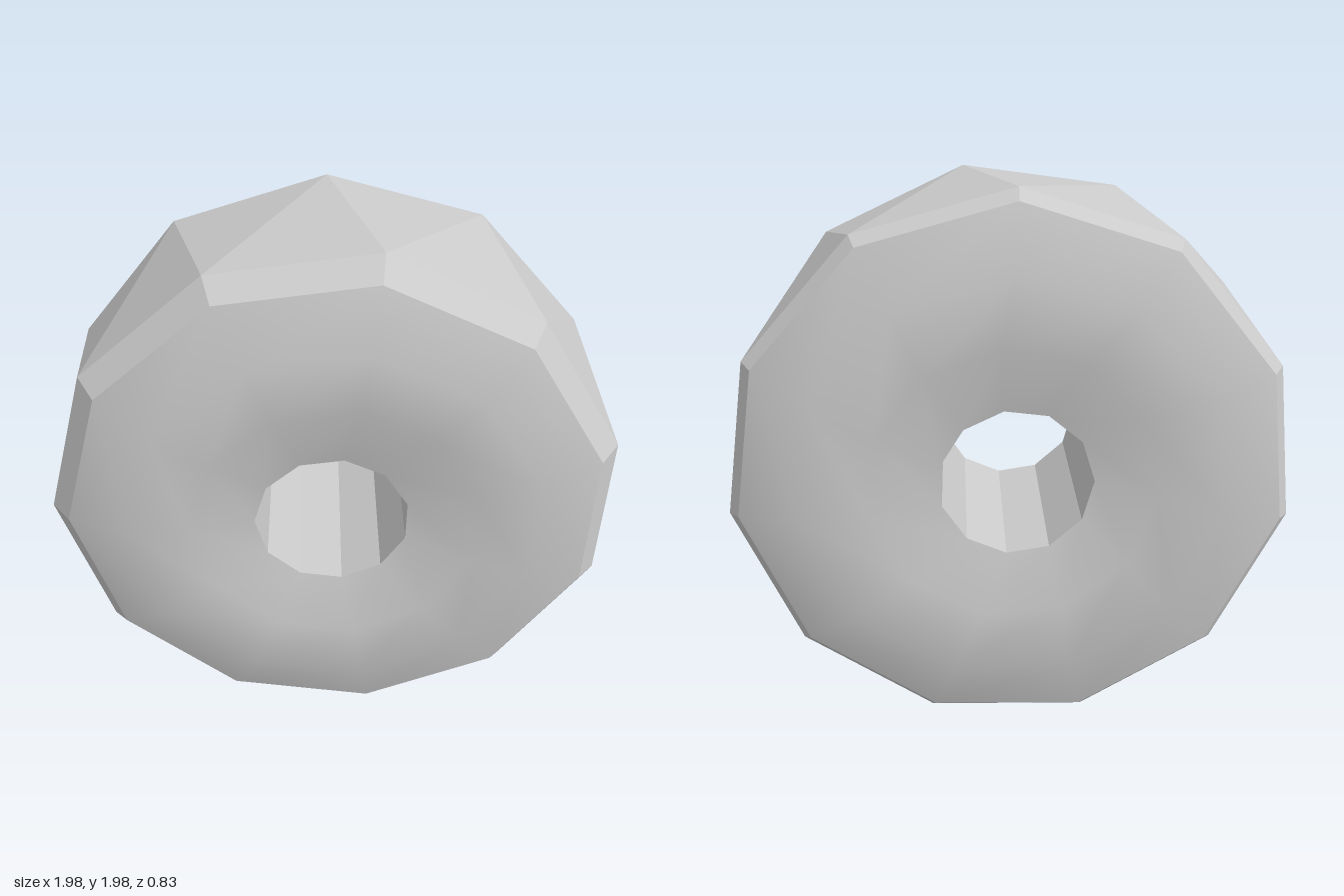
import * as THREE from 'three';

const SIDES = 11;
const CENTRE_Y = 0.984;

// One closed ring of corners: radius, depth, start angle, sideways shift, depth slant
function ring(r, z, deg, cx = 0, slant = 0) {
  return Array.from({ length: SIDES }, (_, i) => {
    const a = THREE.MathUtils.degToRad(deg) + (i / SIDES) * Math.PI * 2;
    const x = cx + r * Math.cos(a);
    return new THREE.Vector3(x, CENTRE_Y + r * Math.sin(a), z + slant * x);
  });
}

// Skin a sequence of rings; smooth surfaces share normals, others are faceted
function skin(name, rings, smooth) {
  const index = [];
  for (let k = 0; k < rings.length - 1; k++) {
    for (let i = 0; i < SIDES; i++) {
      const a = k * SIDES + i, a2 = k * SIDES + (i + 1) % SIDES;
      const b = a + SIDES, b2 = a2 + SIDES;
      index.push(a, b, a2, b, b2, a2);
    }
  }
  let geometry = new THREE.BufferGeometry().setFromPoints(rings.flat());
  geometry.setIndex(index);
  if (!smooth) geometry = geometry.toNonIndexed();
  geometry.computeVertexNormals();
  const mesh = new THREE.Mesh(
    geometry,
    new THREE.MeshStandardMaterial({ color: 0xcccccc, flatShading: !smooth })
  );
  mesh.name = name;
  return mesh;
}

export function createModel() {
  const group = new THREE.Group();
  group.name = 'stoneWheel';

  // The rim twists about ten degrees from front to back
  const frontHole = ring(0.27, 0.35, 81, -0.012);
  const frontInner = ring(0.5, 0.4, 81);
  const frontCrown = ring(0.71, 0.415, 81.3);
  const frontBevel = ring(0.927, 0.348, 81.3, 0, 0.012);
  const frontRim = ring(0.995, 0.27, 81.3, 0, 0.013);
  const backRim = ring(0.995, -0.295, 91.2, 0, 0.01);
  const backBevel = ring(0.957, -0.342, 91.2, 0, 0.012);
  const backCrown = ring(0.735, -0.417, 90.5);
  const backInner = ring(0.5, -0.4, 86);
  const backHole = ring(0.27, -0.355, 81, -0.012);

  group.add(
    skin('frontFace', [frontHole, frontInner, frontCrown, frontBevel], true),
    skin('frontBevel', [frontBevel, frontRim], false),
    skin('tread', [frontRim, backRim], false),
    skin('backBevel', [backRim, backBevel], false),
    skin('backFace', [backBevel, backCrown, backInner, backHole], true),
    skin('axleHole', [backHole, frontHole], false)
  );
  return group;
}
